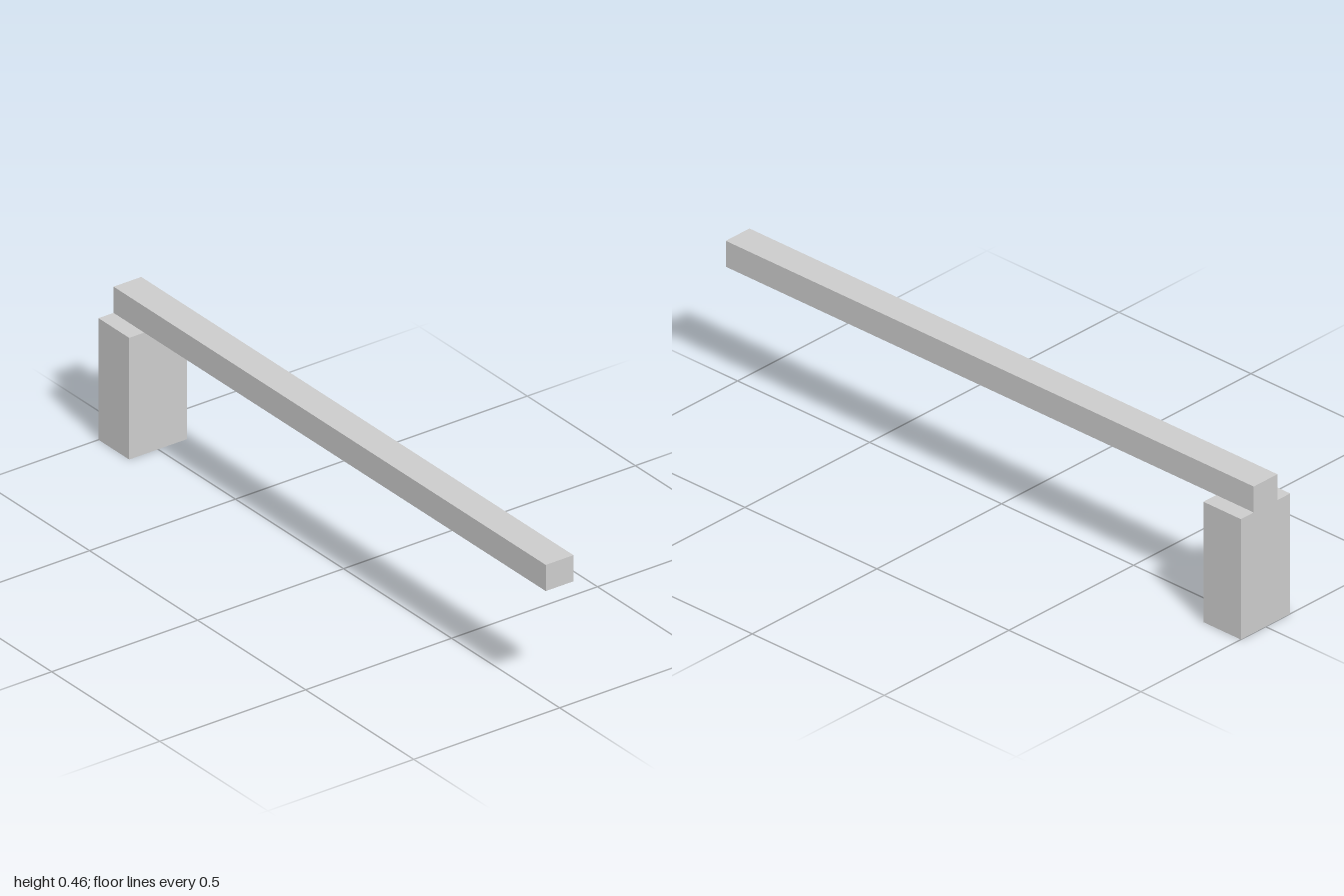
import * as THREE from 'three';

const POST = { width: 0.198, height: 0.381, depth: 0.142 };
const BEAM = { width: 0.095, height: 0.082, depth: 2 };
const BACK = -1; // both parts are flush at the back

export function createModel() {
  const group = new THREE.Group();
  const material = new THREE.MeshStandardMaterial({ color: 0xcccccc, flatShading: true });

  // Adds a box standing on the given height, with its rear face at BACK
  function addBox(name, { width, height, depth }, bottom) {
    const mesh = new THREE.Mesh(new THREE.BoxGeometry(width, height, depth), material);
    mesh.name = name;
    mesh.position.set(0, bottom + height / 2, BACK + depth / 2);
    group.add(mesh);
  }

  // Upright block at the back
  addBox('post', POST, 0);
  // Long bar resting on the post and reaching forward
  addBox('beam', BEAM, POST.height);

  return group;
}
